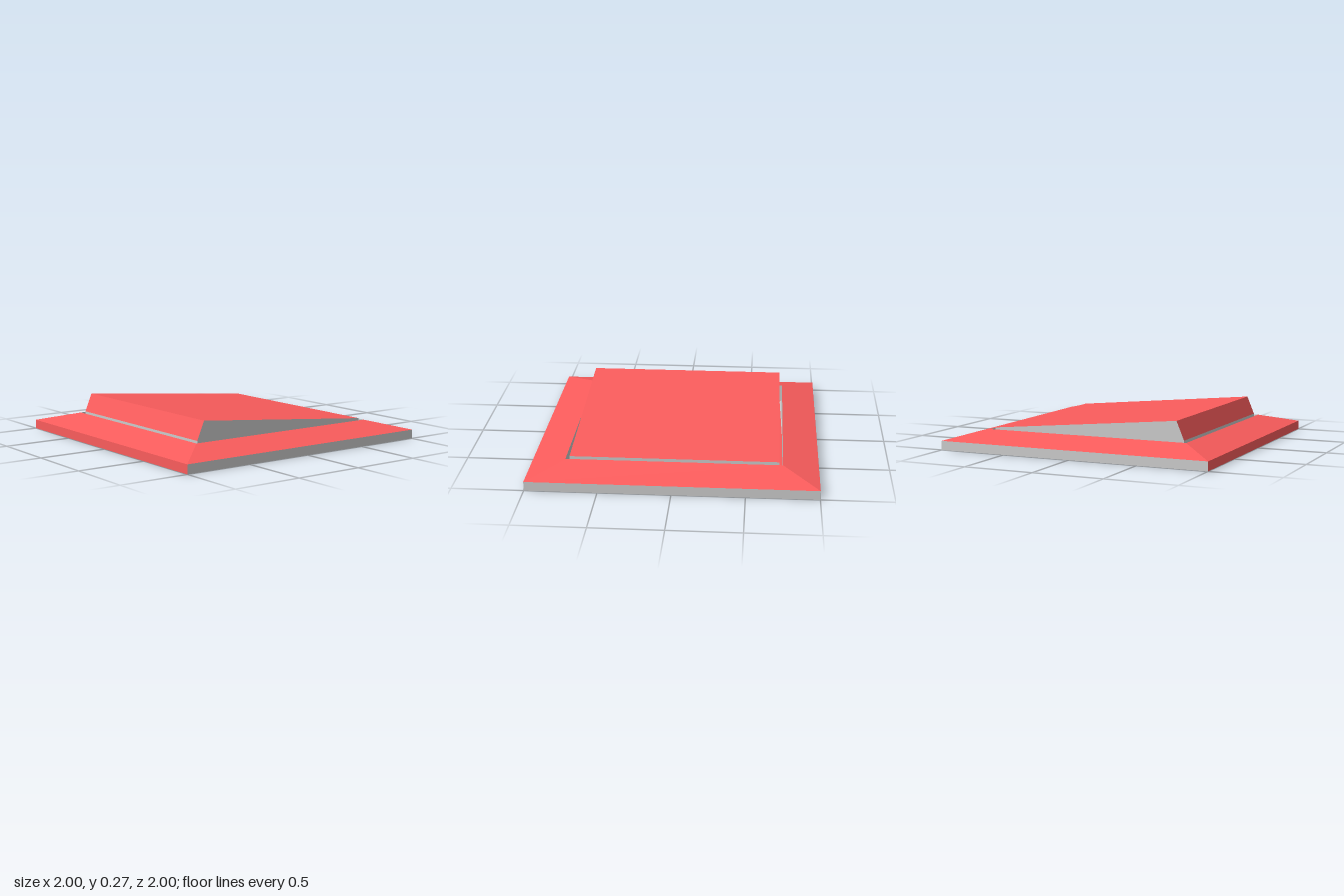
import * as THREE from 'three';

const grey = new THREE.MeshStandardMaterial({ color: 0xcccccc, flatShading: true });
const red = new THREE.MeshStandardMaterial({ color: 0xfa5c5c, flatShading: true });
const greyThin = grey.clone();
greyThin.side = THREE.DoubleSide;
const redThin = red.clone();
redThin.side = THREE.DoubleSide;

function add(parent, name, geometry, material) {
  const mesh = new THREE.Mesh(geometry, material);
  mesh.name = name;
  parent.add(mesh);
  return mesh;
}

// Flat strip between two edges; each edge is [halfWidth, y, z]
function strip([w0, y0, z0], [w1, y1, z1]) {
  const g = new THREE.BufferGeometry();
  g.setAttribute('position', new THREE.Float32BufferAttribute(
    [-w0, y0, z0, w0, y0, z0, w1, y1, z1, -w1, y1, z1], 3));
  g.setIndex([0, 1, 2, 0, 2, 3]);
  g.computeVertexNormals();
  return g;
}

// Flat polygon lying at height y, from [x, z] points
function flat(points, y) {
  const shape = new THREE.Shape(points.map(([x, z]) => new THREE.Vector2(x, z)));
  return new THREE.ShapeGeometry(shape).rotateX(Math.PI / 2).translate(0, y, 0);
}

export function createModel() {
  const model = new THREE.Group();
  model.name = 'wallSwitch';
  const rim = 0.065, top = 0.13, hole = 0.75, half = 0.725;

  // Square frame: outer wall, sloped face and inner wall on each side
  const frame = new THREE.Group();
  frame.name = 'frame';
  model.add(frame);
  for (let i = 0; i < 4; i++) {
    const side = new THREE.Group();
    side.name = 'frameSide';
    side.rotation.y = i * Math.PI / 2;
    add(side, 'outerWall', strip([1, 0, 1], [1, rim, 1]), i === 0 ? red : grey);
    add(side, 'slopedFace', strip([1, rim, 1], [hole, top, hole]), red);
    add(side, 'innerWall', strip([hole, top, hole], [hole, 0, hole]), grey);
    frame.add(side);
  }

  // Back plate closing the underside
  add(model, 'backPlate', flat([[-1, -1], [1, -1], [1, 1], [-1, 1]], 0.002), redThin);

  // Grey gap strips, showing on the underside
  add(model, 'backGap', flat([[-hole, -hole], [hole, -hole], [half, -half], [-half, -half]], 0), greyThin);
  add(model, 'rightGap', flat([[-hole, -hole], [-half, -half], [-half, half], [-hole, hole]], 0), greyThin);
  add(model, 'leftGap', flat([[hole, -hole], [half, -half], [hole, 0.56]], 0), greyThin);

  // Tapered slivers showing in the gap beside the rocker
  add(model, 'leftSliver', flat([[half, half], [hole, hole], [hole, -0.3]], 0.004), greyThin);
  add(model, 'rightSliver', flat([[-0.735, half], [-hole, hole], [-hole, 0]], 0.004), greyThin);

  // Rocker: straight skirt below, tilted wedge above
  const rocker = new THREE.Group();
  rocker.name = 'rocker';
  model.add(rocker);
  const skirtTop = 0.14;
  add(rocker, 'rockerSkirt',
    new THREE.BoxGeometry(half * 2, skirtTop - 0.004, half * 2).translate(0, skirtTop / 2 + 0.002, 0), grey);
  const profile = new THREE.Shape([
    new THREE.Vector2(-half, skirtTop), new THREE.Vector2(half, skirtTop), new THREE.Vector2(0.67, 0.27),
  ]);
  const wedge = new THREE.ExtrudeGeometry(profile, { depth: half * 2, bevelEnabled: false })
    .rotateY(-Math.PI / 2).translate(half, 0, 0);
  add(rocker, 'rockerWedge', wedge, [grey, red]);

  return model;
}
